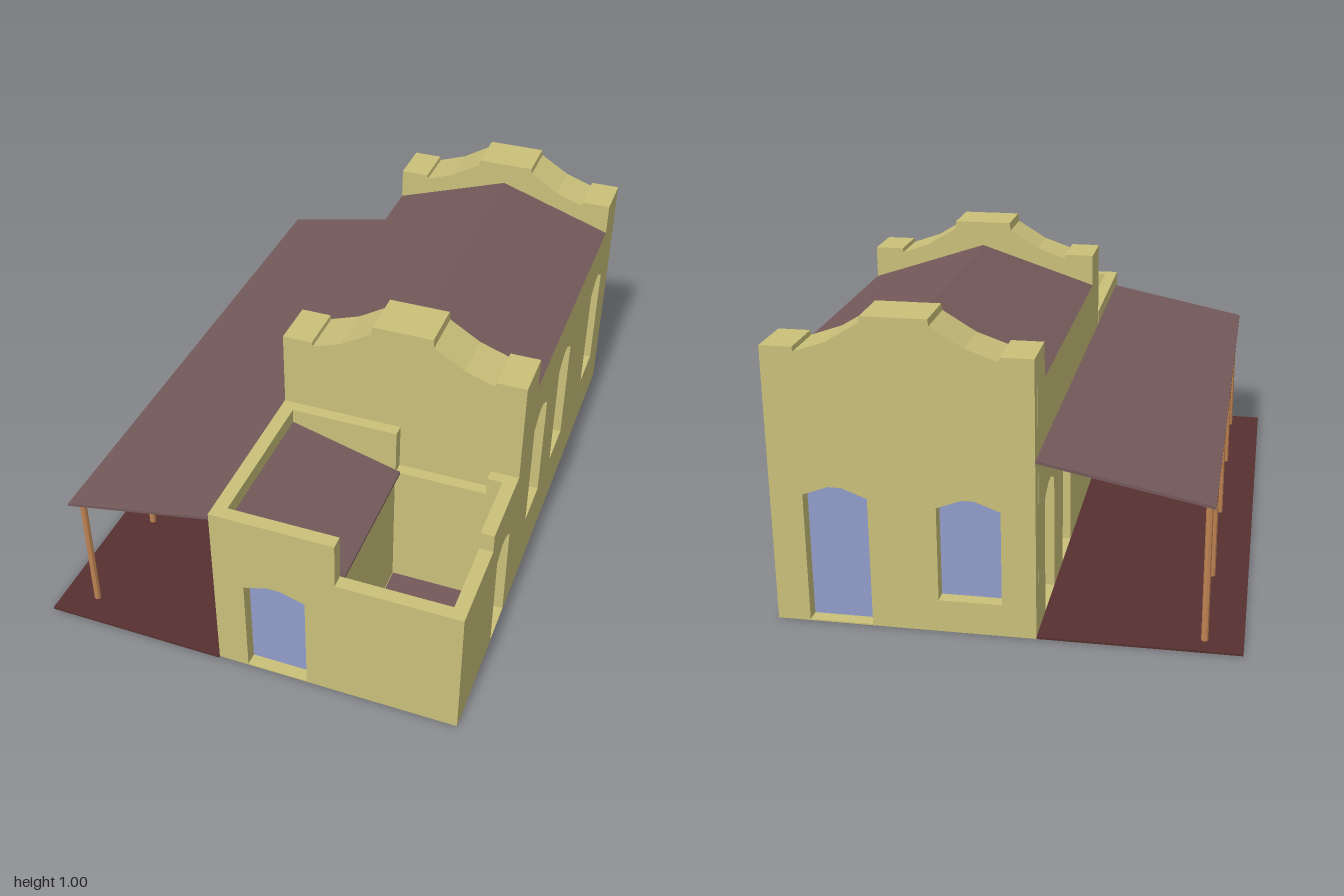
import * as THREE from 'three';

const mat = (color) => new THREE.MeshStandardMaterial({ color, flatShading: true, side: THREE.DoubleSide });
const plaster = mat(0xcac07a), tile = mat(0x74595a), paving = mat(0x573130), glass = mat(0x929eca),
  wood = mat(0xc08453), doorWood = mat(0x7c4c38), dark = mat(0x2c1a14);

// building limits and wall thickness
const X0 = -0.10, X1 = 0.713, ZB = -0.985, ZF = 0.978, MID = 0.307, T = 0.045;
const GABLE_BACK = 0.213, GABLE_FRONT = 0.38;

const toShape = (pts) => new THREE.Shape(pts.map(([x, y]) => new THREE.Vector2(x, y)));
// opening with a low pointed head
const peaked = (u0, u1, y0, side, peak) => [[u0, y0], [u1, y0], [u1, side], [(u0 + u1) / 2 + 0.02, peak], [(u0 + u1) / 2 - 0.02, peak], [u0, side]];
const rect = (u0, u1, y0, y1) => [[u0, y0], [u1, y0], [u1, y1], [u0, y1]];

function add(parent, name, geo, material) {
  const m = new THREE.Mesh(geo, material);
  m.name = name;
  parent.add(m);
  return m;
}

function box(parent, name, x0, x1, y0, y1, z0, z1, material) {
  const m = add(parent, name, new THREE.BoxGeometry(x1 - x0, y1 - y0, z1 - z0), material);
  m.position.set((x0 + x1) / 2, (y0 + y1) / 2, (z0 + z1) / 2);
  return m;
}

// outline in x,y pushed along z from z0 to z1
function prism(parent, name, pts, z0, z1, material) {
  const m = add(parent, name, new THREE.ExtrudeGeometry(toShape(pts), { depth: z1 - z0, bevelEnabled: false }), material);
  m.position.z = z0;
  return m;
}

// wall with cut openings; each opening may carry a recessed panel
function wall(parent, name, pts, openings, panelDepth) {
  const g = new THREE.Group();
  g.name = name;
  const s = toShape(pts);
  for (const o of openings) s.holes.push(toShape(o.pts));
  add(g, name + 'Plaster', new THREE.ExtrudeGeometry(s, { depth: T, bevelEnabled: false }), plaster);
  for (const o of openings) {
    add(g, o.name, new THREE.ShapeGeometry(toShape(o.panel || o.pts)), o.material).position.z = panelDepth;
  }
  parent.add(g);
  return g;
}

// side wall: outline runs along -z
function sideWall(parent, name, x, pts, openings, panelDepth) {
  const g = wall(parent, name, pts.map(([z, y]) => [-z, y]),
    openings.map((o) => ({ ...o, pts: o.pts.map(([z, y]) => [-z, y]), panel: o.panel && o.panel.map(([z, y]) => [-z, y]) })), panelDepth);
  g.rotation.y = Math.PI / 2;
  g.position.x = x;
  return g;
}

// mission-style gable outline, mirrored about the middle
function gable(base, top) {
  const half = [[0.406, 0.89], [0.306, 0.89], [0.303, 0.876], [0.205, 0.91], [0.103, 0.972], [0.1, top]];
  return [[X0, base], [X1, base], ...half.map(([d, y]) => [MID + d, y]),
    ...half.slice().reverse().map(([d, y]) => [MID - d, y])];
}

export function createModel() {
  const model = new THREE.Group();
  model.name = 'missionHouse';
  const house = new THREE.Group();
  house.name = 'house';
  house.rotation.y = 0.0225;
  model.add(house);

  // ground slabs
  box(house, 'porchPaving', -0.72, X0, 0, 0.007, ZB, 0.985, paving);
  box(house, 'hallFloor', X0, X1, 0, 0.004, ZB, GABLE_FRONT, plaster);
  box(house, 'annexFloor', X0, 0.308, 0, 0.004, GABLE_FRONT, ZF - 0.002, plaster);
  box(house, 'patioFloor', 0.308, X1 - 0.002, 0, 0.005, GABLE_FRONT, ZF - 0.002, tile);

  // main hall gables
  prism(house, 'frontGable', gable(0, 1), GABLE_BACK, GABLE_FRONT, plaster);
  prism(house, 'backGableThickening', gable(0.78, 0.992), ZB + T, -0.82, plaster);
  wall(house, 'backWall', gable(0, 0.992), [
    { name: 'backDoorGlass', pts: peaked(0.41, 0.61, 0.004, 0.425, 0.455), material: glass },
    { name: 'backWindowGlass', pts: peaked(0.005, 0.2, 0.105, 0.41, 0.44), material: glass },
  ], T - 0.002).position.z = ZB;

  // main hall side walls
  const hallSide = rect(ZB + T, GABLE_BACK, 0, 0.78);
  sideWall(house, 'hallRightWall', X1 - T, hallSide,
    [-0.74, -0.23, 0.115].map((z) => ({
      name: 'hallWindowGlass', pts: peaked(z - 0.086, z + 0.086, 0.2, 0.592, 0.63), material: glass,
    })), 0.002);
  sideWall(house, 'hallLeftWall', X0, hallSide, [
    ...[-0.74, -0.395].map((z) => ({
      name: 'porchDoor', pts: peaked(z - 0.086, z + 0.086, 0.008, 0.39, 0.42), material: doorWood,
    })),
    { name: 'porchWindow', pts: rect(-0.08, 0.08, 0.2, 0.385), material: dark },
  ], T - 0.002);

  // hall roof
  prism(house, 'hallRoof', [[X0, 0.78], [X1, 0.78], [MID, 0.915]], -0.82, GABLE_BACK, tile);

  // front annex: roofed room on one half, open patio on the other
  wall(house, 'annexFrontWall', [[X0, 0], [X1, 0], [X1, 0.47], [0.308, 0.47], [0.308, 0.63], [X0, 0.63]], [
    { name: 'frontDoorGlass', pts: peaked(0.003, 0.208, 0.004, 0.355, 0.38), material: glass },
  ], 0.002).position.z = ZF - T;
  sideWall(house, 'annexLeftWall', X0, rect(GABLE_FRONT, ZF - T, 0, 0.63), [
    { name: 'annexWindow', pts: rect(0.53, 0.7, 0.2, 0.385), material: dark },
  ], T - 0.002);
  sideWall(house, 'patioRightWall', X1 - T,
    [[GABLE_FRONT, 0], [ZF - T, 0], [ZF - T, 0.47], [0.67, 0.47], [0.67, 0.535], [GABLE_FRONT, 0.535]], [
      { name: 'patioHalfDoor', pts: peaked(0.45, 0.6, 0.006, 0.355, 0.385),
        panel: peaked(0.45, 0.6, 0.208, 0.355, 0.385), material: dark },
    ], 0.01);
  prism(house, 'annexBackParapet', [[X0 + T, 0], [X1 - T, 0], [X1 - T, 0.535], [0.618, 0.535], [0.618, 0.47],
    [0.308, 0.47], [0.308, 0.63], [X0 + T, 0.63]], GABLE_FRONT, 0.42, plaster);
  box(house, 'patioInnerWall', 0.265, 0.306, 0, 0.465, 0.42, ZF - T, plaster);
  prism(house, 'annexRoof', [[X0 + T, 0.572], [0.324, 0.467], [0.324, 0.475], [X0 + T, 0.58]], 0.42, ZF - T, tile);

  // porch roof and posts
  prism(house, 'porchRoof', [[-0.622, 0.467], [X0, 0.573], [X0, 0.582], [-0.622, 0.476]], ZB, 0.942, tile);
  for (const z of [-0.92, -0.5, 0, 0.48, 0.89]) {
    const post = add(house, 'porchPost', new THREE.CylinderGeometry(0.011, 0.011, 0.465, 8), wood);
    post.position.set(-0.602, 0.2395, z);
  }

  // bench against the annex wall
  const bench = new THREE.Group();
  bench.name = 'bench';
  house.add(bench);
  box(bench, 'benchSeat', -0.2, -0.108, 0.046, 0.058, 0.3, 0.75, wood);
  box(bench, 'benchBack', -0.113, -0.103, 0.058, 0.118, 0.3, 0.75, wood);
  for (const z of [0.33, 0.72]) {
    for (const x of [-0.184, -0.122]) box(bench, 'benchLeg', x - 0.007, x + 0.007, 0.007, 0.046, z - 0.007, z + 0.007, wood);
  }
  return model;
}
